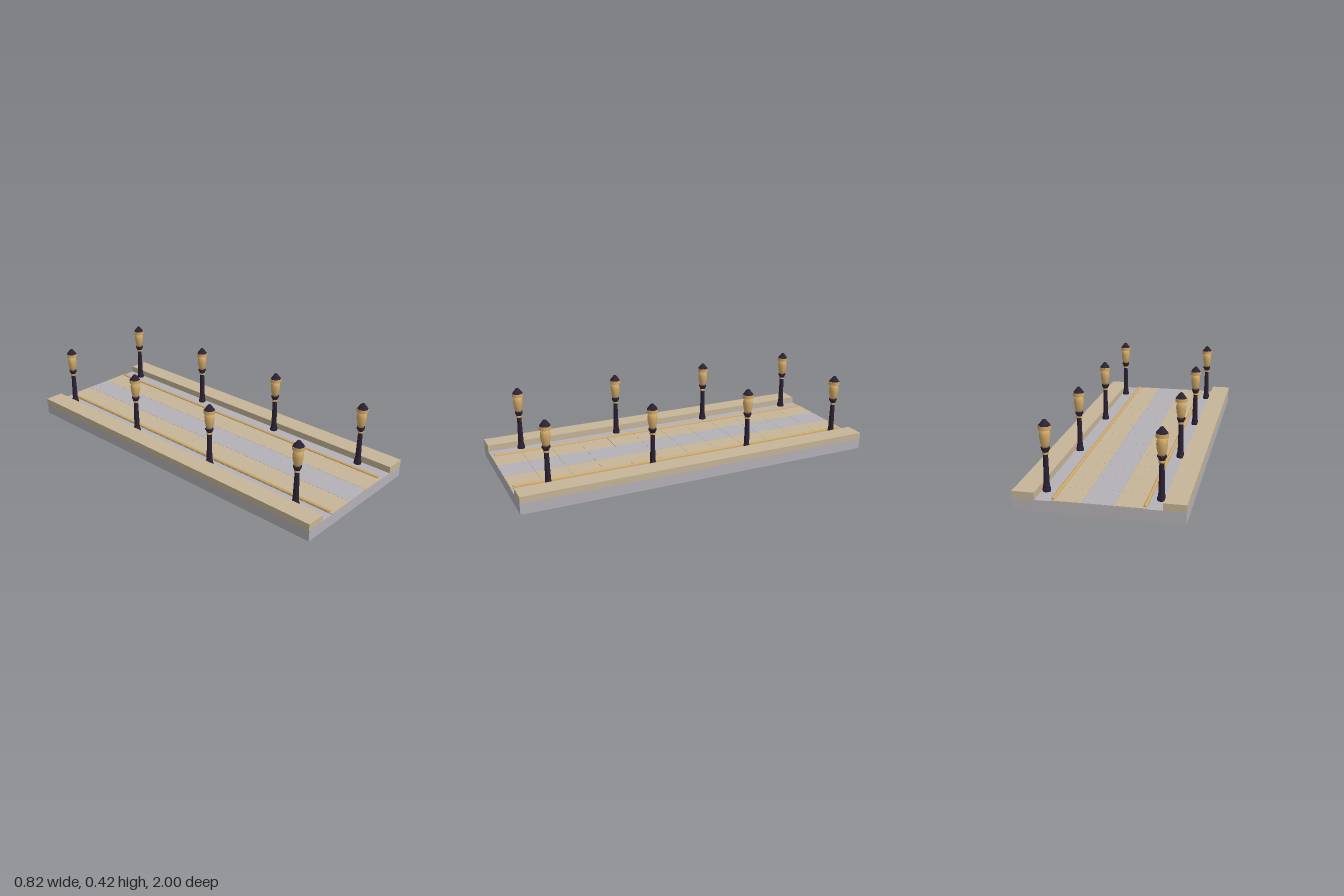
import * as THREE from 'three';

export function createModel() {
  const group = new THREE.Group();
  const mat = (name, color, flatShading = false) => {
    const m = new THREE.MeshStandardMaterial({ color, flatShading });
    m.name = name;
    return m;
  };
  const stone = mat('grey stone', 0xb4b2b6);
  const sand = mat('sandstone', 0xc6b598);
  const gold = mat('gold', 0xd2aa69);
  const iron = mat('dark iron', 0x2b2133, true);

  const add = (parent, name, geometry, material, x = 0, y = 0, z = 0) => {
    const mesh = new THREE.Mesh(geometry, material);
    mesh.name = name;
    mesh.position.set(x, y, z);
    parent.add(mesh);
    return mesh;
  };
  const lathe = (points, sides) =>
    new THREE.LatheGeometry(points.map(([r, y]) => new THREE.Vector2(r, y)), sides);

  // Road slab
  add(group, 'slab', new THREE.BoxGeometry(0.81, 0.06, 2), stone, 0, 0.03, 0);

  // Paving: three columns of thin tiles
  const rows = 12, pitch = 2 / rows;
  const tile = new THREE.BoxGeometry(0.149, 0.004, pitch - 0.001);
  for (let r = 0; r < rows; r++) {
    for (let c = -1; c <= 1; c++) {
      add(group, 'pavingTile', tile, c === 0 ? stone : sand, c * 0.15, 0.062, -1 + (r + 0.5) * pitch);
    }
  }

  // Lamp post profiles, measured from the ground
  const post = lathe([[0, 0.062], [0.021, 0.062], [0.021, 0.076], [0.018, 0.08], [0.017, 0.093],
    [0.0155, 0.096], [0.012, 0.25], [0, 0.25]], 8);
  const neck = new THREE.CylinderGeometry(0.016, 0.016, 0.01, 10);
  const collar = lathe([[0, 0.255], [0.014, 0.255], [0.02, 0.27], [0.022, 0.271], [0.022, 0.281], [0, 0.281]], 8);
  const globe = lathe([[0, 0.278], [0.016, 0.28], [0.02, 0.292], [0.024, 0.31], [0.027, 0.335],
    [0.025, 0.352], [0.019, 0.368], [0, 0.37]], 10);
  const band = new THREE.CylinderGeometry(0.031, 0.031, 0.019, 10);
  const cap = lathe([[0, 0.384], [0.03, 0.386], [0.007, 0.415], [0, 0.417]], 8);

  for (const s of [-1, 1]) {
    // Raised kerb and gold edging rail
    add(group, 'kerb', new THREE.BoxGeometry(0.108, 0.036, 2), sand, s * 0.354, 0.078, 0);
    const rail = add(group, 'edgingRail', new THREE.CylinderGeometry(0.009, 0.009, 1.97, 8), gold, s * 0.215, 0.064, 0);
    rail.rotation.x = Math.PI / 2;

    // Row of lamps
    for (let i = 0; i < 4; i++) {
      const lamp = new THREE.Group();
      lamp.name = 'streetLamp';
      lamp.position.set(s * 0.274, 0, -0.89 + i * 0.57);
      add(lamp, 'post', post, iron);
      add(lamp, 'neckRing', neck, gold, 0, 0.252, 0);
      add(lamp, 'collar', collar, iron);
      add(lamp, 'globe', globe, gold);
      add(lamp, 'capBand', band, gold, 0, 0.3765, 0);
      add(lamp, 'cap', cap, iron);
      group.add(lamp);
    }
  }
  return group;
}
